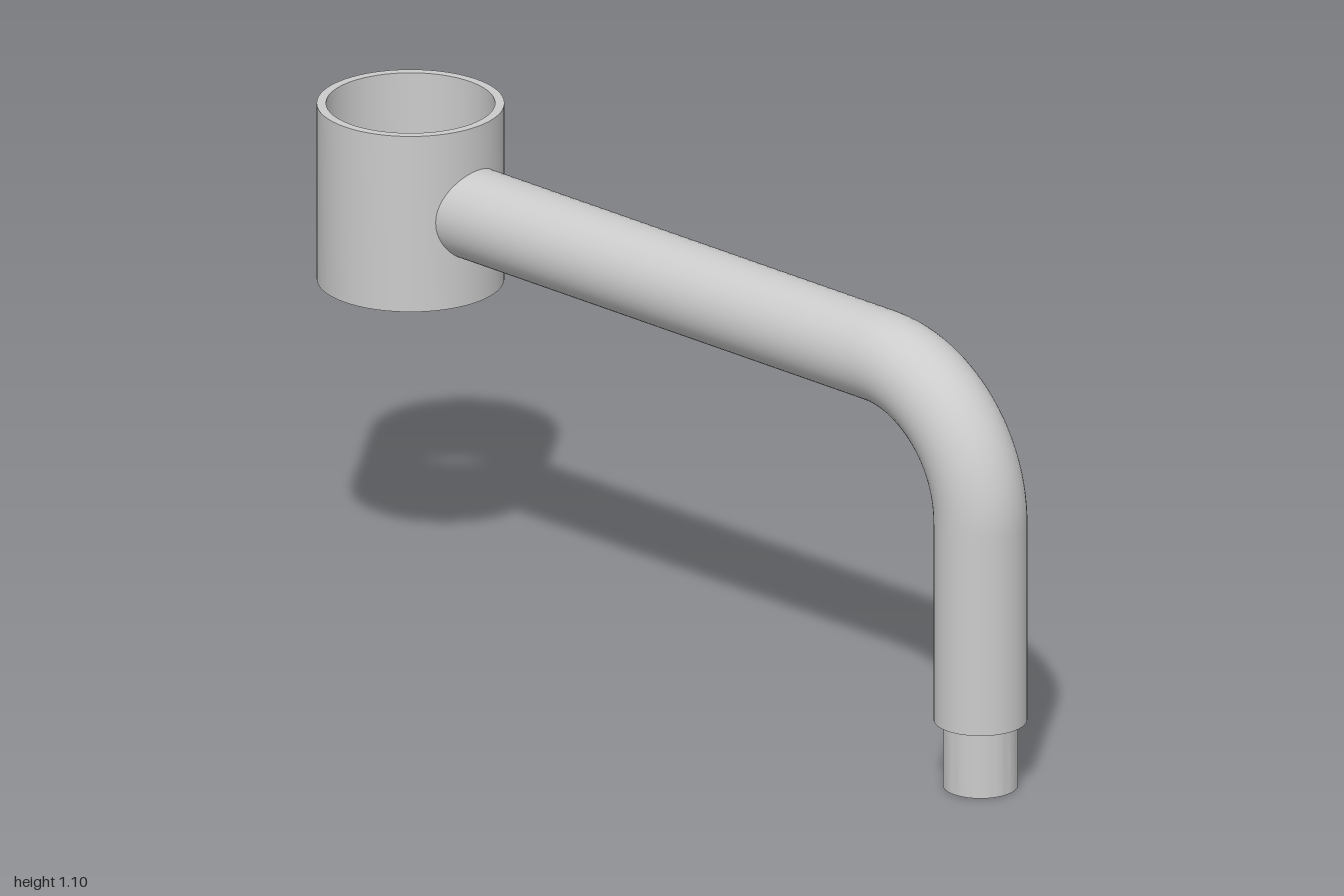
import * as THREE from 'three';
import { toCreasedNormals } from 'three/addons/utils/BufferGeometryUtils.js';

const material = new THREE.MeshStandardMaterial({ color: 0xcccccc });
const COLLAR_X = -0.8, PIPE_X = 0.9, PIPE_Y = 0.9, PIPE_R = 0.1, BEND = 0.3;

// Turned part with sharp edges from [radius, height] pairs
function turned(name, profile, x) {
  const lathe = new THREE.LatheGeometry(profile.map(([r, y]) => new THREE.Vector2(r, y)), 64);
  const mesh = new THREE.Mesh(toCreasedNormals(lathe, 0.6), material);
  mesh.name = name;
  mesh.position.x = x;
  return mesh;
}

// Round pipe: horizontal run, quarter bend, vertical drop
function bentPipe() {
  const v = (x, y) => new THREE.Vector3(x, y, 0);
  const bx = PIPE_X - BEND, by = PIPE_Y - BEND, k = BEND * 0.5523;
  const path = new THREE.CurvePath();
  path.add(new THREE.LineCurve3(v(COLLAR_X + 0.19, PIPE_Y), v(bx, PIPE_Y)));
  path.add(new THREE.CubicBezierCurve3(v(bx, PIPE_Y), v(bx + k, PIPE_Y), v(PIPE_X, by + k), v(PIPE_X, by)));
  path.add(new THREE.LineCurve3(v(PIPE_X, by), v(PIPE_X, 0.15)));
  const sides = 48;
  const geometry = new THREE.TubeGeometry(path, 120, PIPE_R, sides);

  // Fit the first loop to the curved collar wall
  const pos = geometry.attributes.position;
  for (let i = 0; i <= sides; i++) {
    pos.setX(i, COLLAR_X + Math.sqrt(0.19 ** 2 - pos.getZ(i) ** 2));
  }
  const mesh = new THREE.Mesh(geometry, material);
  mesh.name = 'bentPipe';
  return mesh;
}

export function createModel() {
  const model = new THREE.Group();
  model.name = 'pipeArm';

  // Thin open collar at the end of the arm
  model.add(turned('collar', [[0.2, 0.7], [0.2, 1.1], [0.18, 1.1], [0.18, 0.7], [0.2, 0.7]], COLLAR_X));

  model.add(bentPipe());

  // Hollow spigot with the shoulder that closes the pipe end
  model.add(turned('spigot', [[0, 0.5], [0.065, 0.5], [0.065, 0], [0.08, 0], [0.08, 0.15], [PIPE_R, 0.15]], PIPE_X));

  return model;
}
